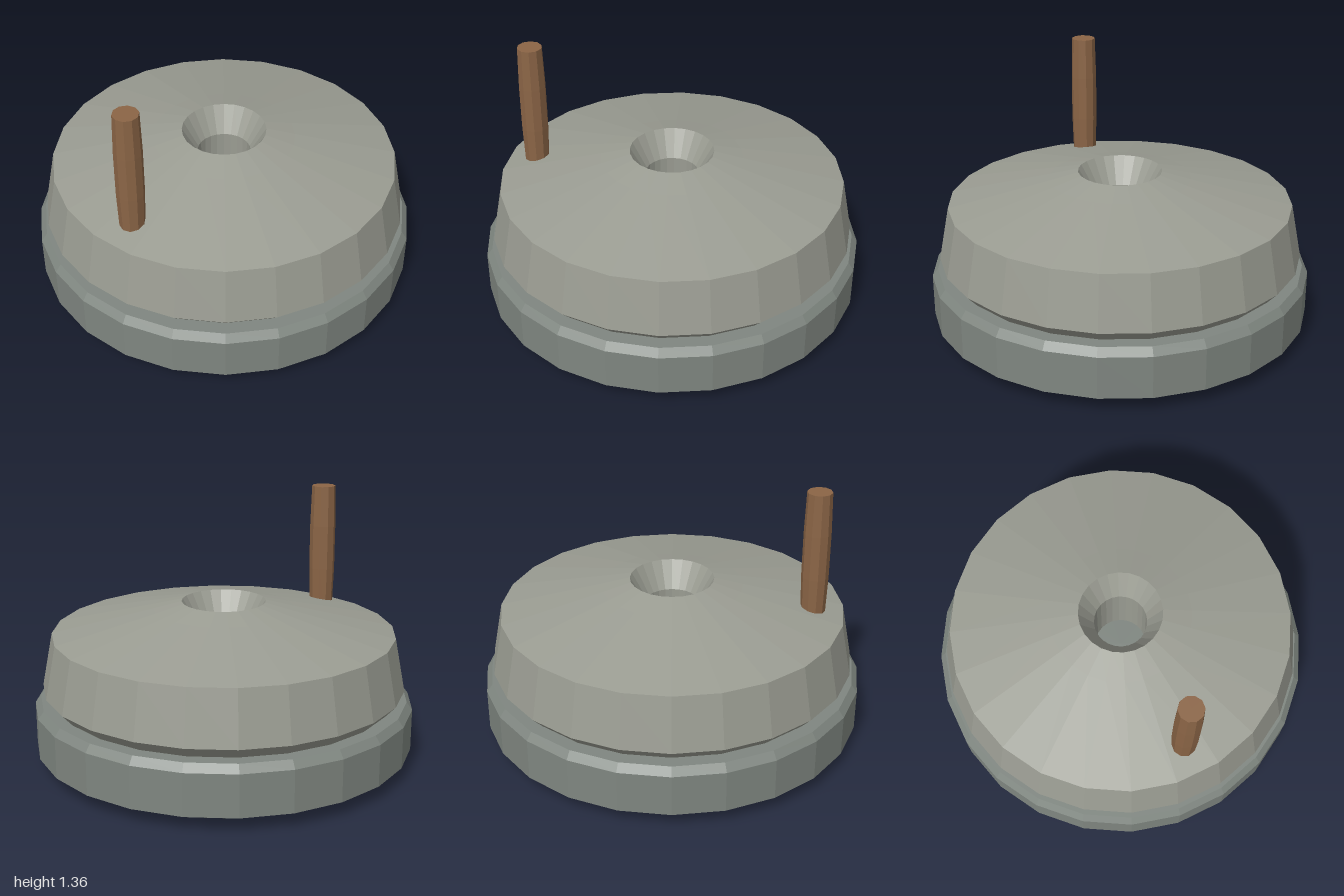
import * as THREE from 'three';

// Faceted solid of revolution; the profile runs up the outside as [radius, y]
function turned(name, color, sides, profile) {
  const points = profile.map(([r, y]) => new THREE.Vector2(r, y));
  const geometry = new THREE.LatheGeometry(points, sides).toNonIndexed();
  geometry.computeVertexNormals();
  const mesh = new THREE.Mesh(
    geometry,
    new THREE.MeshStandardMaterial({ color, flatShading: true })
  );
  mesh.name = name;
  return mesh;
}

export function createModel() {
  const model = new THREE.Group();
  model.name = 'handMill';

  // Fixed lower stone with chamfered rims
  const lowerStone = turned('lowerStone', 0x7f8680, 24, [
    [0, 0], [0.84, 0], [1, 0.08], [1, 0.3], [0.97, 0.34], [0, 0.34],
  ]);

  // Turning upper stone: closed profile with a funnel-shaped eye through it
  const upperStone = turned('upperStone', 0x9a9c92, 24, [
    [0.14, 0.34], [0.9, 0.34], [0.955, 0.4], [0.9, 0.68],
    [0.37, 0.803], [0.22, 0.84], [0.14, 0.7], [0.14, 0.34],
  ]);

  // Wooden peg, slightly swollen in the middle and seated in the upper stone
  const handle = turned('handle', 0x8b6546, 10, [
    [0, 0.64], [0.062, 0.64], [0.07, 0.9], [0.07, 1.14], [0.064, 1.36], [0, 1.36],
  ]);
  handle.position.set(-0.68, 0, 0.28);

  model.add(lowerStone, upperStone, handle);
  return model;
}
